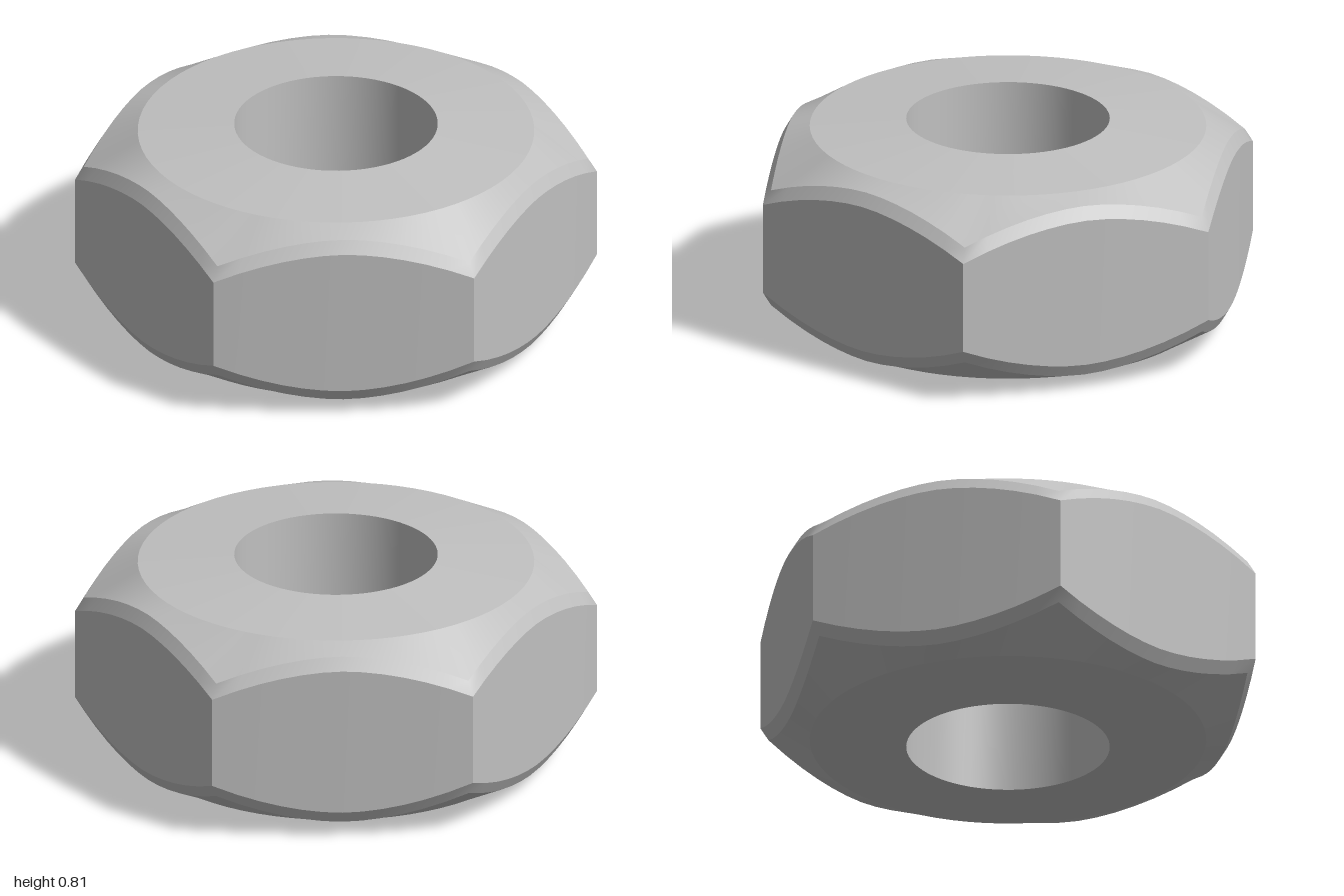
import * as THREE from 'three';

const HEIGHT = 0.81;
const PER_SIDE = 12;
const STEPS = PER_SIDE * 6;

// Distance from the middle of a flat (0) to a corner (1) at a given step
function flatOffset(i) {
  const d = ((i % PER_SIDE) / PER_SIDE - 0.5) * Math.PI / 3;
  return { d, t: Math.abs(Math.tan(d)) / Math.tan(Math.PI / 6) };
}

// Ring rules return [radius, height] for a step around the axis
const circle = (r, y) => () => [r, y];
const hexagon = (scale, yMiddle, yCorner) => (i) => {
  const { d, t } = flatOffset(i);
  const apothem = 0.866 + 0.008 * (1 - t * t); // slightly bowed flats
  return [scale * apothem / Math.cos(d), yMiddle + (yCorner - yMiddle) * Math.pow(t, 1.8)];
};
const flip = (ring) => (i) => {
  const [r, y] = ring(i);
  return [r, HEIGHT - y];
};

// Smooth strip between two rings, over all steps or only a range of them
function strip(ringA, ringB, start = 0, count = STEPS) {
  const closed = count === STEPS;
  const n = closed ? count : count + 1;
  const positions = [];
  const index = [];
  for (let k = 0; k < n; k++) {
    const a = ((start + k) / STEPS) * Math.PI * 2;
    for (const ring of [ringA, ringB]) {
      const [r, y] = ring(start + k);
      positions.push(r * Math.sin(a), y, r * Math.cos(a));
    }
  }
  for (let k = 0; k < count; k++) {
    const a = 2 * k;
    const b = 2 * ((k + 1) % n);
    index.push(a, b, b + 1, a, b + 1, a + 1);
  }
  const geometry = new THREE.BufferGeometry();
  geometry.setAttribute('position', new THREE.Float32BufferAttribute(positions, 3));
  geometry.setIndex(index);
  geometry.computeVertexNormals();
  return geometry;
}

export function createModel() {
  const group = new THREE.Group();
  group.name = 'hexNut';
  const steel = new THREE.MeshStandardMaterial({ color: 0xc0c0c0 });
  steel.name = 'steel grey';
  const add = (name, geometry) => {
    const mesh = new THREE.Mesh(geometry, steel);
    mesh.name = name;
    group.add(mesh);
  };

  const bore = circle(0.39, HEIGHT);
  const rim = circle(0.76, 0.78);
  const bevel = hexagon(0.967, 0.75, 0.64);
  const edge = hexagon(1, 0.70, 0.585);

  // Top: scalloped bevel, rounded chamfer and shallow cone
  add('topBevel', strip(edge, bevel));
  add('topChamfer', strip(bevel, rim));
  add('topFace', strip(rim, bore));

  // Bottom mirrors the top
  add('bottomFace', strip(flip(bore), flip(rim)));
  add('bottomChamfer', strip(flip(rim), flip(bevel)));
  add('bottomBevel', strip(flip(bevel), flip(edge)));

  // Six wrench flats with sharp corners between them
  for (let s = 0; s < 6; s++) {
    add('flat' + (s + 1), strip(flip(edge), edge, s * PER_SIDE, PER_SIDE));
  }

  // Through hole
  add('boreWall', strip(bore, flip(bore)));

  return group;
}
